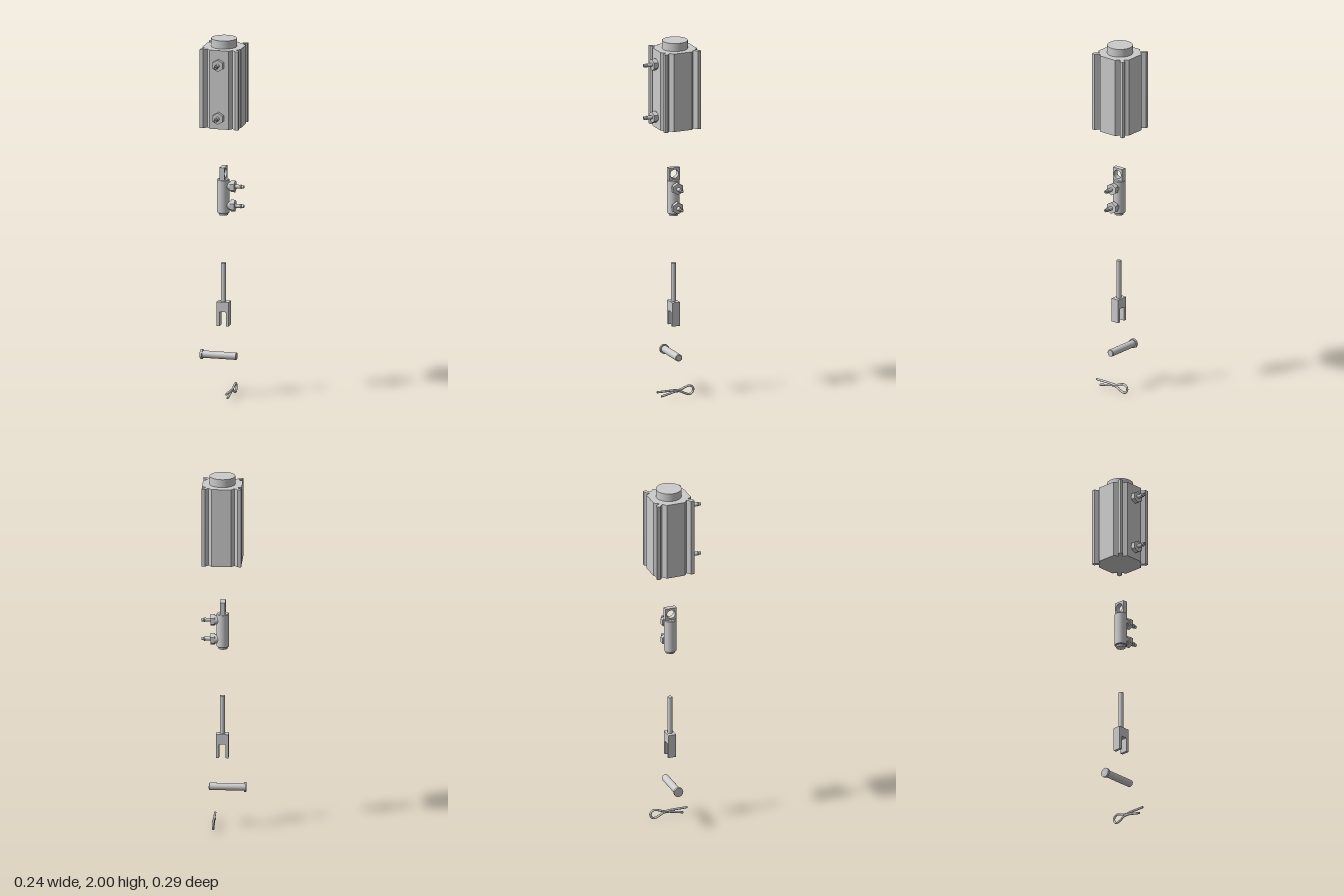
import * as THREE from 'three';

const material = new THREE.MeshStandardMaterial({ color: 0xcccccc });
const CX = 0.006; // shared axis of the exploded stack
const CZ = -0.033;

function add(parent, name, geometry, x = 0, y = 0, z = 0) {
  const mesh = new THREE.Mesh(geometry, material);
  mesh.name = name;
  mesh.position.set(x, y, z);
  parent.add(mesh);
  return mesh;
}

function group(parent, name, x = 0, y = 0, z = 0) {
  const g = new THREE.Group();
  g.name = name;
  g.position.set(x, y, z);
  parent.add(g);
  return g;
}

// Lathe with hard edges: every profile segment becomes its own band
function turned(parent, name, profile, x = 0, y = 0, z = 0) {
  const g = group(parent, name, x, y, z);
  for (let i = 0; i < profile.length - 1; i++) {
    const pts = [profile[i], profile[i + 1]].map(([r, h]) => new THREE.Vector2(r, h));
    add(g, name + 'Band', new THREE.LatheGeometry(pts, 32));
  }
  return g;
}

// Hose fitting pointing along +y, with collar, hex nut and barbed bored stem
function fitting(parent, name) {
  const g = group(parent, name);
  add(g, 'collar', new THREE.CylinderGeometry(0.025, 0.025, 0.008, 32), 0, 0.002, 0);
  const nut = new THREE.CylinderGeometry(0.033, 0.033, 0.024, 6).toNonIndexed();
  nut.computeVertexNormals();
  add(g, 'hexNut', nut, 0, 0.017, 0);
  turned(g, 'barbedStem', [
    [0.0105, 0.028], [0.0105, 0.058], [0.012, 0.06], [0.012, 0.063],
    [0.009, 0.066], [0.009, 0.078], [0.005, 0.078], [0.005, 0.045], [0, 0.045],
  ]);
  return g;
}

// Extruded cylinder housing with a slot beside each corner rib
function housing(parent) {
  const g = group(parent, 'cylinderHousing', CX, 0, -0.041);
  const corner = [[0.108, 0.053], [0.084, 0.071], [0.108, 0.089], [0.108, 0.108],
    [0.089, 0.108], [0.071, 0.084], [0.053, 0.108]];
  const outline = [];
  for (let k = 0; k < 4; k++) {
    for (const [x, y] of corner) {
      outline.push(new THREE.Vector2(x, y).rotateAround(new THREE.Vector2(), k * Math.PI / 2));
    }
  }
  const body = new THREE.ExtrudeGeometry(new THREE.Shape(outline), { depth: 0.44, bevelEnabled: false });
  body.rotateX(-Math.PI / 2);
  add(g, 'profileBody', body, 0, 1.515, 0);
  add(g, 'topBoss', new THREE.CylinderGeometry(0.07, 0.07, 0.045, 64), 0, 1.9775, 0);
  for (const y of [1.58, 1.876]) {
    const f = fitting(g, 'housingFitting');
    f.position.set(0, y, 0.108);
    f.rotation.x = Math.PI / 2;
  }
}

// Small cylinder with eye lug on top and two side fittings
function smallCylinder(parent) {
  const g = group(parent, 'smallCylinder', CX - 0.002, 0, CZ);
  turned(g, 'barrel', [
    [0, 1.013], [0.025, 1.013], [0.025, 1.024], [0.03, 1.024], [0.034, 1.028],
    [0.034, 1.21], [0.03, 1.214], [0, 1.214],
  ]);
  const lug = new THREE.Shape([[-0.032, 0], [0.032, 0], [0.032, 0.071], [-0.032, 0.071]]
    .map(([x, y]) => new THREE.Vector2(x, y)));
  lug.holes.push(new THREE.Path().absarc(0, 0.036, 0.024, 0, Math.PI * 2, true));
  const lugGeo = new THREE.ExtrudeGeometry(lug, { depth: 0.028, bevelEnabled: false, curveSegments: 24 });
  lugGeo.translate(0, 0, -0.014).rotateY(Math.PI / 2);
  add(g, 'eyeLug', lugGeo, 0, 1.212, 0);
  for (const y of [1.067, 1.175]) {
    const f = fitting(g, 'sideFitting');
    f.position.set(0.038, y, 0);
    f.rotation.set(0, 0, -Math.PI / 2);
    f.rotateY(Math.PI / 2);
    add(g, 'fittingSeat', new THREE.CylinderGeometry(0.022, 0.022, 0.02, 24), 0.03, y, 0)
      .rotation.z = Math.PI / 2;
  }
}

// Rod with forked end
function forkRod(parent) {
  const g = group(parent, 'forkRod', CX, 0, CZ);
  add(g, 'rod', new THREE.CylinderGeometry(0.0135, 0.0135, 0.218, 32), 0, 0.635, 0);
  const pts = [[-0.034, 0.394], [-0.0175, 0.394], [-0.0175, 0.473], [0.0175, 0.473],
    [0.0175, 0.394], [0.034, 0.394], [0.034, 0.528], [-0.034, 0.528]];
  const shape = new THREE.Shape(pts.map(([x, y]) => new THREE.Vector2(x, y)));
  const fork = new THREE.ExtrudeGeometry(shape, { depth: 0.045, bevelEnabled: false });
  add(g, 'fork', fork.translate(0, 0, -0.0225));
}

// Headed pin lying along x
function pin(parent) {
  const g = turned(parent, 'clevisPin', [
    [0, -0.123], [0.0265, -0.123], [0.0265, -0.111], [0.02, -0.111], [0.02, 0.077], [0.017, 0.08], [0, 0.08],
  ], 0, 0.225, CZ);
  g.rotation.z = -Math.PI / 2;
}

// Split pin: two legs joined by an eye loop
function splitPin(parent) {
  const g = group(parent, 'splitPin', 0.052, 0, 0);
  const path = [[0.086, 0.038], [0.04, 0.038], [-0.01, 0.038], [-0.05, 0.037], [-0.078, 0.047],
    [-0.105, 0.054], [-0.123, 0.047], [-0.13, 0.031], [-0.123, 0.014], [-0.108, 0.006],
    [-0.083, 0.013], [-0.056, 0.027], [-0.03, 0.03], [-0.01, 0.027], [0.025, 0.019], [0.06, 0.011]]
    .map(([z, y]) => new THREE.Vector3(0, y, z));
  const curve = new THREE.CatmullRomCurve3(path, false, 'centripetal');
  add(g, 'wire', new THREE.TubeGeometry(curve, 120, 0.006, 12));
  // wire end caps
  for (const [p, q] of [[path[0], path[1]], [path[path.length - 1], path[path.length - 2]]]) {
    const cap = add(g, 'wireEnd', new THREE.CircleGeometry(0.006, 12), p.x, p.y, p.z);
    cap.lookAt(p.clone().multiplyScalar(2).sub(q).add(g.position));
    cap.quaternion.setFromUnitVectors(new THREE.Vector3(0, 0, 1), p.clone().sub(q).normalize());
  }
}

export function createModel() {
  const model = new THREE.Group();
  model.name = 'explodedCylinderAssembly';
  housing(model);
  smallCylinder(model);
  forkRod(model);
  pin(model);
  splitPin(model);
  return model;
}
